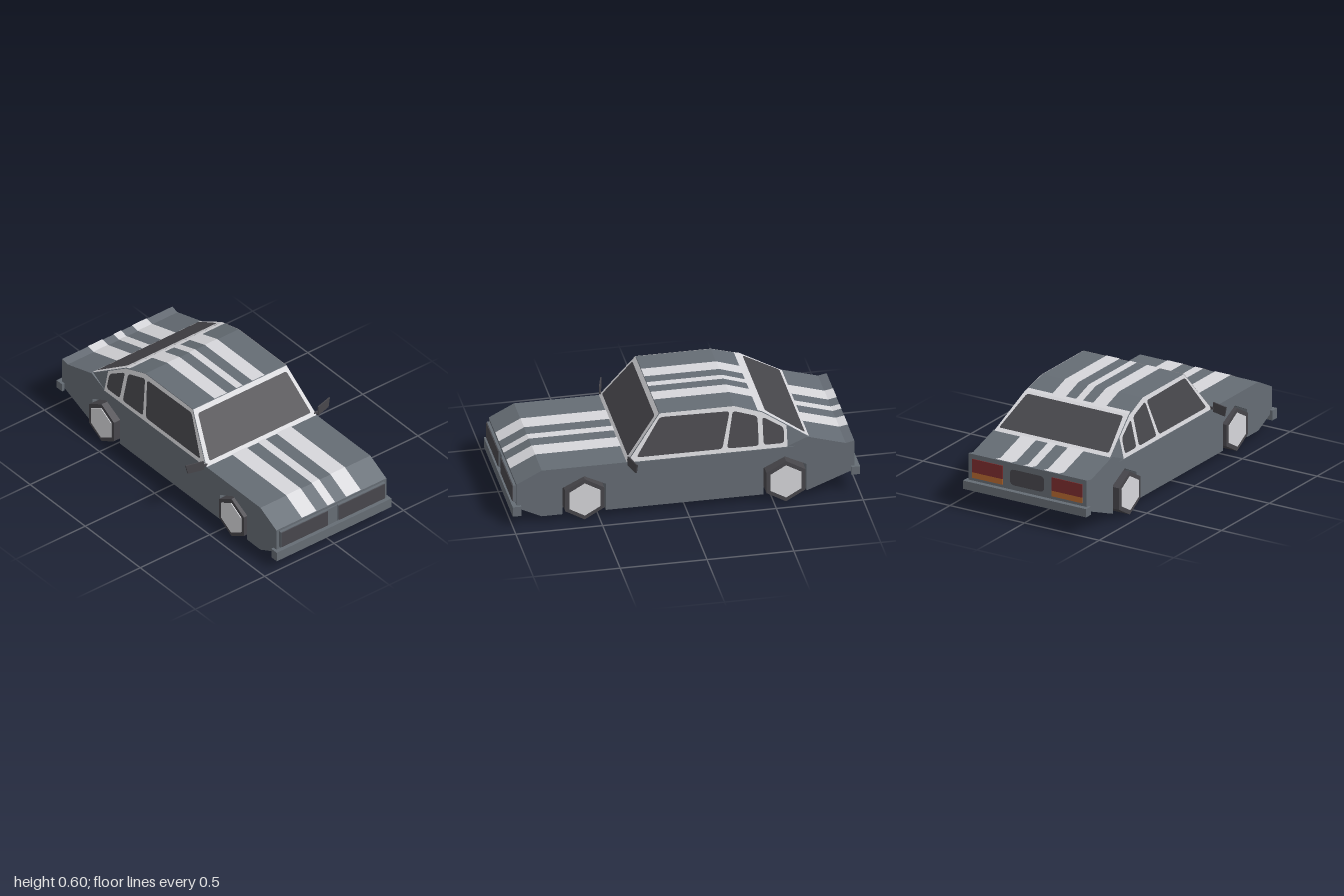
import * as THREE from 'three';

const mat = (name, color) => new THREE.MeshStandardMaterial({ name, color, side: THREE.DoubleSide, flatShading: true });

export function createModel() {
  const slate = mat('slate paint', 0x656c74);
  const light = mat('light stripe and trim', 0xd6d6da);
  const dark = mat('dark glass and rubber', 0x47464b);
  const red = mat('red lamp', 0x7c2c2e);
  const orange = mat('orange lamp', 0xb5682f);

  const car = new THREE.Group();
  car.name = 'car';

  const add = (name, geometry, material) => {
    const mesh = new THREE.Mesh(geometry, material);
    mesh.name = name;
    car.add(mesh);
    return mesh;
  };
  const box = (name, material, x0, x1, y0, y1, z0, z1) => {
    const g = new THREE.BoxGeometry(x1 - x0, y1 - y0, z1 - z0);
    g.translate((x0 + x1) / 2, (y0 + y1) / 2, (z0 + z1) / 2);
    return add(name, g, material);
  };
  // Polygon outline with softened corners
  const outline = (pts, r = 0) => {
    const v = pts.map(p => new THREE.Vector2(...p));
    if (!r) return new THREE.Shape(v);
    const shape = new THREE.Shape();
    v.forEach((p, i) => {
      const toward = q => p.clone().add(q.clone().sub(p).setLength(r));
      const a = toward(v[(i + v.length - 1) % v.length]);
      const b = toward(v[(i + 1) % v.length]);
      if (i) shape.lineTo(a.x, a.y); else shape.moveTo(a.x, a.y);
      shape.quadraticCurveTo(p.x, p.y, b.x, b.y);
    });
    shape.closePath();
    return shape;
  };
  // Side profile of [z, y] points extruded from x0 to x1
  const slab = (profile, x0, x1) => {
    const g = new THREE.ExtrudeGeometry(outline(profile), { depth: x1 - x0, bevelEnabled: false });
    g.rotateY(-Math.PI / 2);
    g.translate(x1, 0, 0);
    return g;
  };
  // Thin face whose flat outline is placed on a panel by a rule
  const plate = (name, material, pts, place, r = 0) => {
    const g = new THREE.ShapeGeometry(outline(pts, r), 4);
    const p = g.attributes.position;
    for (let i = 0; i < p.count; i++) p.setXYZ(i, ...place(p.getX(i), p.getY(i)));
    g.computeVertexNormals();
    return add(name, g, material);
  };
  const mirrored = half => [...half, ...half.map(([x, y]) => [-x, y]).reverse()];

  // Lower body: full core, and flanks notched for the wheels
  const axles = [0.585, -0.57];
  const top = [[0.975, 0.11], [0.975, 0.26], [0.83, 0.335], [-0.58, 0.335], [-0.7, 0.385], [-0.92, 0.32], [-0.97, 0.33], [-0.97, 0.145], [-0.7, 0.04]];
  const arch = z => [[z - 0.124, 0.04], [z - 0.124, 0.21], [z, 0.272], [z + 0.124, 0.21], [z + 0.124, 0.04]];
  const notches = [...arch(axles[1]), ...arch(axles[0])];
  add('bodyCore', slab([...top, [0.83, 0.04]], -0.315, 0.315), slate);
  for (const s of [-1, 1]) {
    const x0 = s > 0 ? 0.315 : -0.396;
    add('bodyFlank', slab([...top, ...notches, [0.83, 0.04]], x0, x0 + 0.081), slate);
    for (const z of axles) plate('archLiner', dark, arch(z), (u, v) => [s * 0.318, v, u]);
  }

  // Cabin: profile extruded, then its sides leaned inward
  const halfWidth = y => 0.396 - (y - 0.335) * 0.235;
  const cabin = slab([[0.337, 0.33], [0.14, 0.597], [-0.29, 0.597], [-0.45, 0.545], [-0.7, 0.385], [-0.62, 0.33]], -1, 1);
  const cp = cabin.attributes.position;
  for (let i = 0; i < cp.count; i++) cp.setX(i, Math.sign(cp.getX(i)) * halfWidth(cp.getY(i)));
  cabin.computeVertexNormals();
  add('cabin', cabin, slate);

  // Side window trim and glass
  const sideFrame = [[0.337, 0.335], [0.14, 0.597], [-0.29, 0.597], [-0.45, 0.545], [-0.585, 0.458], [-0.585, 0.335]];
  const sideGlass = [
    [[0.285, 0.36], [0.14, 0.577], [-0.262, 0.572], [-0.21, 0.36]],
    [[-0.237, 0.36], [-0.28, 0.572], [-0.42, 0.528], [-0.42, 0.358]],
    [[-0.448, 0.36], [-0.448, 0.522], [-0.567, 0.45], [-0.567, 0.36]],
  ];
  for (const s of [-1, 1]) {
    const on = off => (z, y) => [s * (halfWidth(y) + off), y, z];
    plate('sideWindowFrame', light, sideFrame, on(0.003));
    sideGlass.forEach(pts => plate('sideWindow', dark, pts, on(0.006), 0.02));
  }

  // Windshield and rear window
  const front = off => (x, y) => [x, y, 0.337 - (y - 0.335) * 0.752 + off];
  const rear = off => (x, y) => [x, y + off, -0.45 + (y - 0.545) * 1.5625 - off];
  plate('windshieldFrame', light, mirrored([[0.396, 0.335], [0.336, 0.597]]), front(0.004));
  plate('windshield', dark, mirrored([[0.366, 0.358], [0.318, 0.576]]), front(0.009), 0.012);
  plate('rearWindowFrame', light, mirrored([[0.388, 0.38], [0.346, 0.548]]), rear(0.003));
  plate('rearWindow', dark, mirrored([[0.368, 0.394], [0.322, 0.536]]), rear(0.006), 0.012);

  // Racing stripes along hood, roof and trunk
  const runs = [
    ['hoodStripe', 1, [[0.975, 0.26], [0.83, 0.335], [0.335, 0.335]]],
    ['roofStripe', 0.85, [[0.142, 0.597], [-0.29, 0.597], [-0.45, 0.545]]],
    ['trunkStripe', 1, [[-0.7, 0.385], [-0.92, 0.32], [-0.97, 0.33]]],
  ];
  for (const [name, k, path] of runs) {
    for (const [a, b] of [[-0.212, -0.107], [-0.027, 0.027], [0.107, 0.212]]) {
      for (let i = 0; i + 1 < path.length; i++) {
        const [[z0, y0], [z1, y1]] = [path[i], path[i + 1]];
        plate(name, light, [[a * k, 0], [b * k, 0], [b * k, 1], [a * k, 1]],
          (x, t) => [x, y0 + (y1 - y0) * t + 0.004, z0 + (z1 - z0) * t]);
      }
    }
  }
  // Light cross band where the roof meets the rear window
  plate('roofRearTrim', light, mirrored([[0.345, 0], [0.341, 1]]), (x, t) => [x, 0.549 + t * 0.0085, -0.45 + t * 0.026]);

  // Grille and bumpers
  for (const s of [-1, 1]) {
    const [a, b] = s > 0 ? [0.04, 0.372] : [-0.372, -0.04];
    box('grilleFrame', slate, a - 0.004, b + 0.004, 0.138, 0.246, 0.97, 0.99);
    box('grille', dark, a, b, 0.143, 0.241, 0.985, 0.995);
    const [c, d] = s > 0 ? [0.394, 0.413] : [-0.413, -0.394];
    box('frontBumperEnd', slate, c, d, 0.065, 0.125, 0.965, 0.985);
    box('rearBumperEnd', slate, c, d, 0.12, 0.17, -0.985, -0.95);
  }
  box('grilleCentre', slate, -0.036, 0.036, 0.14, 0.244, 0.97, 0.985);
  box('frontBumper', slate, -0.413, 0.413, 0.065, 0.125, 0.95, 1);
  box('rearBumper', slate, -0.413, 0.413, 0.12, 0.17, -1, -0.965);

  // Tail lamps and centre panel
  for (const s of [-1, 1]) {
    const [a, b] = s > 0 ? [0.165, 0.368] : [-0.368, -0.165];
    box('tailLamp', red, a, b, 0.222, 0.302, -0.975, -0.968);
    box('turnLamp', orange, a, b, 0.188, 0.222, -0.975, -0.968);
  }
  plate('rearPanel', dark, mirrored([[0.115, 0.2], [0.115, 0.295]]), (x, y) => [x, y, -0.974], 0.03);

  // Six-sided wheels with light hubs
  const hex = (r, w) => new THREE.CylinderGeometry(r, r, w, 6).rotateY(Math.PI / 6).rotateZ(Math.PI / 2);
  axles.forEach((z, i) => {
    const outer = i ? 0.43 : 0.41;
    for (const s of [-1, 1]) {
      add('tyre', hex(0.13, outer - 0.316), dark).position.set(s * (outer + 0.316) / 2, 0.13, z);
      add('hub', hex(0.103, 0.006), light).position.set(s * (outer + 0.001), 0.13, z);
    }
  });

  // Door mirrors
  for (const s of [-1, 1]) {
    const g = new THREE.ExtrudeGeometry(outline([[0.412, 0.322], [0.506, 0.322], [0.519, 0.38], [0.412, 0.38]]), { depth: 0.008, bevelEnabled: false });
    const p = g.attributes.position;
    for (let i = 0; i < p.count; i++) p.setZ(i, p.getZ(i) + 0.33 - (p.getX(i) - 0.412) * 0.28);
    g.computeVertexNormals();
    add('doorMirror', g, dark).scale.x = s;
    box('mirrorStalk', dark, s > 0 ? 0.385 : -0.415, s > 0 ? 0.415 : -0.385, 0.336, 0.35, 0.326, 0.336);
  }
  return car;
}
